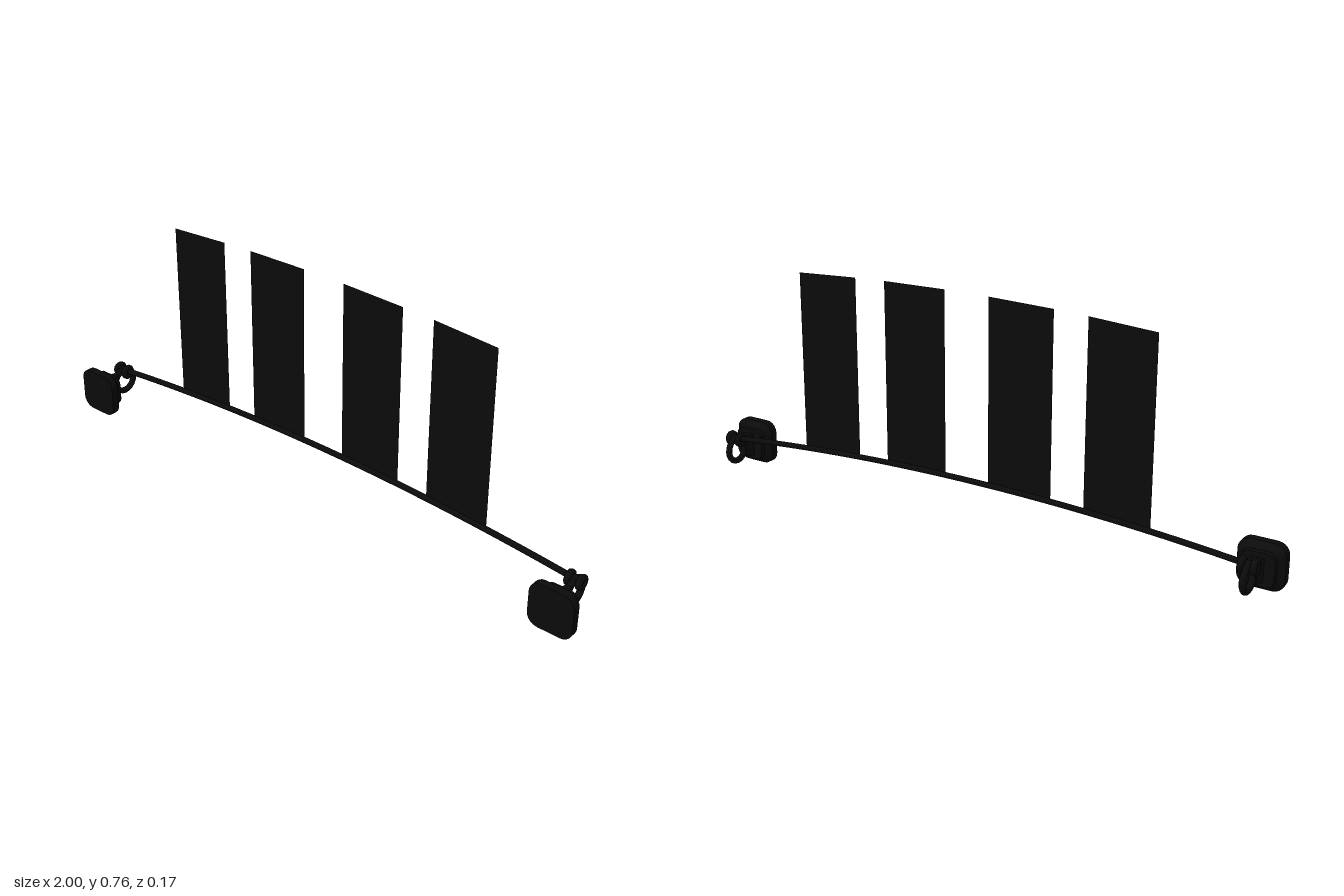
import * as THREE from 'three';

const BACK = -0.036; // depth plane of the cord and the hanging panels
const END_X = 0.9265;
const MID_Y = 0.075;
const cordY = (x) => 0.165 - 0.05 * (x / 0.93) ** 2;

// Rounded square sections [z, half size] joined along z, running front to back
function roundedLoft(sections) {
  const outline = [];
  const corner = 0.5, steps = 5;
  for (let c = 0; c < 4; c++) {
    const mid = Math.PI / 4 + c * Math.PI / 2;
    const cx = Math.sign(Math.cos(mid)) * (1 - corner), cy = Math.sign(Math.sin(mid)) * (1 - corner);
    for (let i = 0; i <= steps; i++) {
      const a = (c + i / steps) * Math.PI / 2;
      outline.push([cx + corner * Math.cos(a), cy + corner * Math.sin(a)]);
    }
  }
  const n = outline.length, pos = [], index = [];
  sections.forEach(([z, h]) => outline.forEach(([x, y]) => pos.push(x * h, y * h, z)));
  for (let s = 0; s < sections.length - 1; s++) {
    for (let i = 0; i < n; i++) {
      const a = s * n + i, b = s * n + (i + 1) % n;
      index.push(a, a + n, b, b, a + n, b + n);
    }
  }
  const last = (sections.length - 1) * n;
  for (let i = 1; i < n - 1; i++) {
    index.push(0, i, i + 1, last, last + i + 1, last + i);
  }
  const geo = new THREE.BufferGeometry();
  geo.setAttribute('position', new THREE.Float32BufferAttribute(pos, 3));
  geo.setIndex(index);
  const flat = geo.toNonIndexed();
  flat.computeVertexNormals();
  return flat;
}

export function createModel() {
  const model = new THREE.Group();
  model.name = 'cordWithPanels';
  const black = new THREE.MeshStandardMaterial({ color: 0x0b0b0b });
  black.name = 'black';
  const panelBlack = new THREE.MeshStandardMaterial({ color: 0x0b0b0b, side: THREE.DoubleSide });
  panelBlack.name = 'panel black';

  const add = (parent, name, geo, material = black) => {
    const mesh = new THREE.Mesh(geo, material);
    mesh.name = name;
    parent.add(mesh);
    return mesh;
  };

  // Arched cord between the two rings
  const points = [];
  for (let i = 0; i <= 16; i++) {
    const x = -0.93 + 1.86 * i / 16;
    points.push(new THREE.Vector3(x, cordY(x), BACK));
  }
  add(model, 'cord', new THREE.TubeGeometry(new THREE.CatmullRomCurve3(points), 48, 0.0095, 8));

  // Flat panels standing on the cord, sheared to follow its slope
  [[-0.625, -0.408], [-0.297, -0.08], [0.074, 0.293], [0.402, 0.62]].forEach(([x0, x1], i) => {
    const shape = new THREE.Shape();
    shape.moveTo(x0, cordY(x0));
    shape.lineTo(x1, cordY(x1));
    shape.lineTo(x1, cordY(x1) + 0.593);
    shape.lineTo(x0, cordY(x0) + 0.593);
    const panel = add(model, `panel${i + 1}`, new THREE.ShapeGeometry(shape), panelBlack);
    panel.position.z = BACK;
  });

  // End brackets
  const plate = roundedLoft([[0.0875, 0.0735], [0.062, 0.0735], [0.044, 0.054], [0.03, 0.052]]);
  for (const side of [-1, 1]) {
    const bracket = new THREE.Group();
    bracket.name = side > 0 ? 'leftBracket' : 'rightBracket';
    bracket.position.set(side * END_X, MID_Y, 0);
    model.add(bracket);

    add(bracket, 'plate', plate);

    // Neck narrows towards the ring
    const neckShape = new THREE.Shape();
    neckShape.moveTo(-0.021, 0.032);
    neckShape.lineTo(-0.012, 0.01);
    neckShape.lineTo(-0.011, -0.001);
    neckShape.lineTo(0.011, -0.001);
    neckShape.lineTo(0.012, 0.01);
    neckShape.lineTo(0.021, 0.032);
    const neckGeo = new THREE.ExtrudeGeometry(neckShape, { depth: 0.074, bevelEnabled: false });
    neckGeo.translate(0, 0, -0.037);
    neckGeo.rotateX(Math.PI / 2);
    neckGeo.scale(1, 1, 1);
    add(bracket, 'neck', neckGeo);

    const ring = add(bracket, 'ring', new THREE.TorusGeometry(0.0405, 0.0105, 10, 20));
    ring.rotation.y = Math.PI / 2;
    ring.position.z = -0.035;

    // Knot of two coils holding the cord to the ring
    const knot = new THREE.Group();
    knot.name = 'knot';
    knot.position.set(0, 0.038, BACK);
    bracket.add(knot);
    for (const dx of [-0.019, 0.019]) {
      const coil = add(knot, 'coil', new THREE.TorusGeometry(0.0155, 0.011, 8, 10));
      coil.rotation.y = Math.PI / 2;
      coil.position.x = dx;
    }
    const core = add(knot, 'knotCore', new THREE.CylinderGeometry(0.015, 0.015, 0.046, 10));
    core.rotation.z = Math.PI / 2;
  }
  return model;
}
